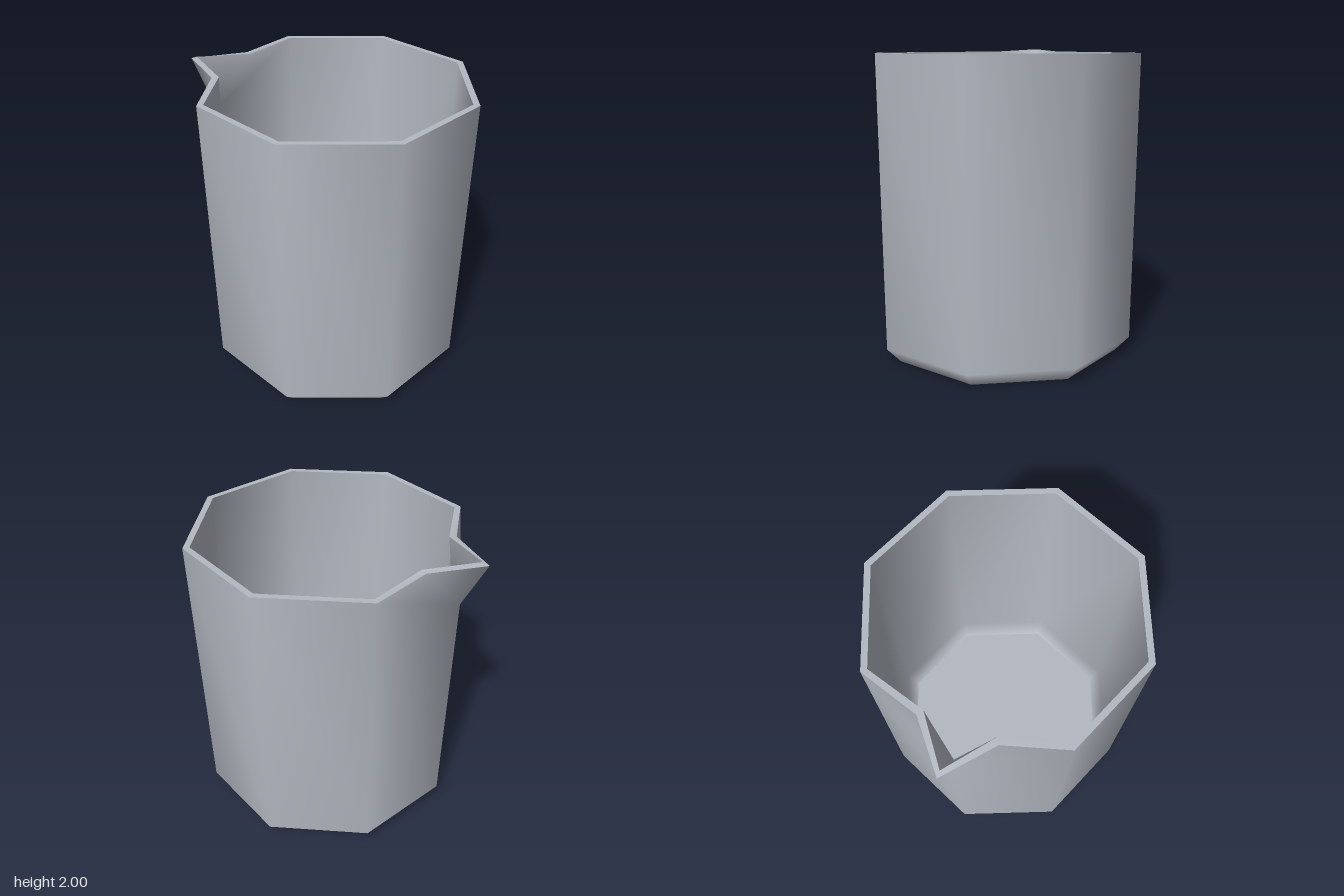
import * as THREE from 'three';

const SIDES = 8, SPOUT = 4, CENTRE_X = 0.07;

// Octagonal ring of points, corner 0 on +x
function ring(r, y) {
  return Array.from({ length: SIDES }, (_, i) => {
    const a = (i / SIDES) * Math.PI * 2;
    return [CENTRE_X + r * Math.cos(a), y, r * Math.sin(a)];
  });
}

function geometry(points, faces) {
  const g = new THREE.BufferGeometry();
  g.setAttribute('position', new THREE.Float32BufferAttribute(points.flat(), 3));
  g.setIndex(faces.flat());
  g.computeVertexNormals();
  return g;
}

// Wall with bevelled foot and a pinched spout at -x; inward flips the faces
function wall({ foot, bevel, top, throat, notch, tip }, inward) {
  const rings = [ring(...foot), ring(...bevel), ring(...top)];
  rings[2][SPOUT] = throat;
  const notchBack = [notch[0], notch[1], -notch[2]];
  const points = [...rings.flat(), notch, tip, notchBack];
  const faces = [];
  for (let k = 0; k < 2; k++) {
    for (let i = 0; i < SIDES; i++) {
      const a = k * SIDES + i, b = k * SIDES + (i + 1) % SIDES;
      faces.push([a, a + SIDES, b + SIDES], [a, b + SIDES, b]);
    }
  }
  // Spout: four triangles fanned from the throat
  const T = 2 * SIDES + SPOUT, N = 3 * SIDES;
  const lip = [T - 1, N, N + 1, N + 2, T + 1];
  for (let i = 0; i < 4; i++) faces.push([T, lip[i], lip[i + 1]]);
  if (inward) faces.forEach((f) => f.reverse());
  const rim = [...rings[2].slice(0, SPOUT), notch, tip, notchBack, ...rings[2].slice(SPOUT + 1)];
  return { geo: geometry(points, faces), rim };
}

// Flat octagonal plate
function disc(r, y, up) {
  const faces = [];
  for (let i = 1; i < SIDES - 1; i++) faces.push(up ? [0, i + 1, i] : [0, i, i + 1]);
  return geometry(ring(r, y), faces);
}

export function createModel() {
  const group = new THREE.Group();
  group.name = 'beaker';
  const grey = new THREE.MeshStandardMaterial({ color: 0xb4b9c2 });
  grey.name = 'pale grey';
  const add = (name, geo) => {
    const mesh = new THREE.Mesh(geo, grey);
    mesh.name = name;
    group.add(mesh);
  };

  const outer = wall({
    foot: [0.78, 0], bevel: [0.872, 0.1], top: [0.892, 1.98],
    throat: [-0.82, 1.68, 0], notch: [-0.68, 1.983, 0.24], tip: [-0.967, 1.985, 0],
  }, false);
  const inner = wall({
    foot: [0.76, 0.05], bevel: [0.835, 0.13], top: [0.85, 1.98],
    throat: [-0.775, 1.68, 0], notch: [-0.642, 1.985, 0.215], tip: [-0.925, 2, 0],
  }, true);
  add('outerWall', outer.geo);
  add('innerWall', inner.geo);

  // Rim strip joining the two walls
  const n = outer.rim.length, rimFaces = [];
  for (let i = 0; i < n; i++) {
    const j = (i + 1) % n;
    rimFaces.push([i, n + i, n + j], [i, n + j, j]);
  }
  add('rim', geometry([...outer.rim, ...inner.rim], rimFaces));

  add('innerFloor', disc(0.76, 0.05, true));
  add('base', disc(0.78, 0, false));
  return group;
}
